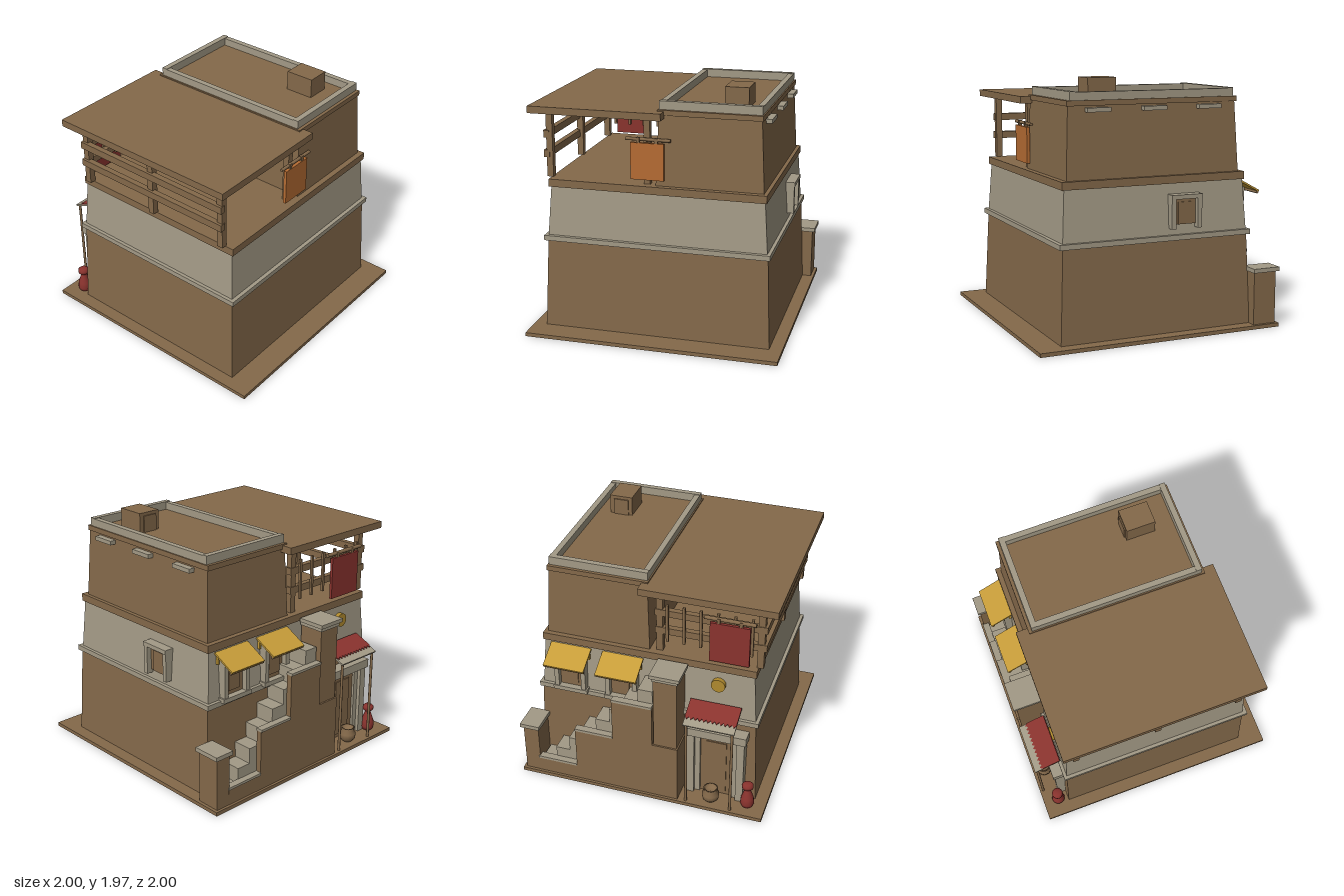
import * as THREE from 'three';

const mat = (name, color) => {
  const m = new THREE.MeshStandardMaterial({ color });
  m.name = name;
  return m;
};

export function createModel() {
  const model = new THREE.Group();
  const clay = mat('clay brown', 0x84694a);
  const stone = mat('pale stone', 0xa39a86);
  const red = mat('dark red', 0x8a332e);
  const orange = mat('orange cloth', 0xb56c33);
  const yellow = mat('yellow cloth', 0xc69c39);
  const gold = mat('gold', 0xb08a2e);

  const add = (name, geo, material, x = 0, y = 0, z = 0) => {
    const m = new THREE.Mesh(geo, material);
    m.name = name;
    m.position.set(x, y, z);
    model.add(m);
    return m;
  };
  // Box given by its extents on each axis
  const box = (name, material, x0, x1, y0, y1, z0, z1) =>
    add(name, new THREE.BoxGeometry(x1 - x0, y1 - y0, z1 - z0), material,
      (x0 + x1) / 2, (y0 + y1) / 2, (z0 + z1) / 2);
  // Block whose walls lean: bottom and top are [x0, x1, z0, z1]
  const tapered = (name, material, y0, y1, bottom, top) => {
    const geo = new THREE.BoxGeometry(1, 1, 1);
    const p = geo.attributes.position;
    for (let i = 0; i < p.count; i++) {
      const r = p.getY(i) > 0 ? top : bottom;
      p.setXYZ(i, r[p.getX(i) > 0 ? 1 : 0], p.getY(i) > 0 ? y1 : y0, r[p.getZ(i) > 0 ? 3 : 2]);
    }
    geo.computeVertexNormals();
    return add(name, geo, material);
  };
  // Thin sloping sheet from its outer edge (y0, z0) up to the wall (y1, z1)
  const sheet = (name, material, x0, x1, y0, z0, y1, z1, t) => {
    const m = add(name, new THREE.BoxGeometry(x1 - x0, t, Math.hypot(y1 - y0, z1 - z0)), material,
      (x0 + x1) / 2, (y0 + y1) / 2, (z0 + z1) / 2);
    m.rotation.x = Math.atan2(y0 - y1, z1 - z0);
    return m;
  };
  const rod = (name, material, r, length, x, y, z, alongX) => {
    const m = add(name, new THREE.CylinderGeometry(r, r, length, 10), material, x, y, z);
    if (alongX) m.rotation.z = Math.PI / 2;
    return m;
  };

  // Ground and main storeys
  box('ground', clay, -1, 1, 0, 0.03, -1, 1);
  tapered('lowerStorey', clay, 0.03, 0.76, [-0.9, 0.9, -0.79, 0.8], [-0.87, 0.87, -0.765, 0.77]);
  tapered('middleStorey', stone, 0.76, 1.18, [-0.87, 0.865, -0.765, 0.77], [-0.84, 0.835, -0.74, 0.745]);
  box('stoneLedge', stone, -0.895, 0.89, 0.74, 0.78, -0.79, 0.8);
  box('terraceFloor', clay, -0.855, 0.85, 1.17, 1.23, -0.75, 0.765);

  // Upper room with parapet and chimney
  tapered('upperRoom', clay, 1.23, 1.78, [-0.01, 0.82, -0.71, 0.72], [0.01, 0.79, -0.685, 0.695]);
  box('upperCornice', clay, 0, 0.8, 1.77, 1.81, -0.7, 0.705);
  for (const [z0, z1] of [[-0.675, -0.63], [0.635, 0.68]])
    box('parapetEnd', stone, 0.01, 0.79, 1.81, 1.875, z0, z1);
  for (const x of [0.01, 0.745])
    box('parapetSide', stone, x, x + 0.045, 1.81, 1.87, -0.63, 0.635);
  box('chimney', clay, 0.46, 0.645, 1.81, 1.965, 0.245, 0.475);
  box('chimneyPanel', clay, 0.49, 0.61, 1.81, 1.94, 0.235, 0.245);
  for (const z of [-0.45, 0.01, 0.465])
    box('wallBlock', stone, 0.78, 0.84, 1.725, 1.757, z - 0.095, z + 0.095);

  // Terrace canopy, posts and rails
  box('canopy', clay, -1, 0.05, 1.745, 1.8, -0.79, 0.79);
  for (const [x, z] of [[-0.865, -0.67], [-0.865, 0], [-0.865, 0.67], [-0.085, -0.67], [-0.085, 0.67]])
    box('canopyPost', clay, x - 0.025, x + 0.025, 1.23, 1.745, z - 0.025, z + 0.025);
  for (const y of [1.385, 1.54]) {
    box('sideRail', clay, -0.91, -0.865, y, y + 0.057, -0.7, 0.7);
    box('backRail', clay, -0.88, -0.05, y, y + 0.055, -0.7, -0.655);
  }
  for (let i = 0; i < 6; i++)
    box('railSlat', clay, -0.81 + i * 0.13, -0.79 + i * 0.13, 1.33, 1.65, -0.715, -0.695);

  // Hanging cloths
  box('orangeBanner', orange, -0.2, 0.06, 1.275, 1.56, 0.72, 0.745);
  rod('bannerPole', clay, 0.013, 0.35, -0.065, 1.585, 0.725, true);
  box('redBanner', red, -0.79, -0.485, 1.25, 1.585, -0.738, -0.715);
  rod('bannerPole', clay, 0.015, 0.39, -0.635, 1.615, -0.72, true);
  for (const [xs, y, z] of [[[-0.14, 0], 1.57, 0.73], [[-0.72, -0.55], 1.595, -0.725]])
    for (const x of xs) box('bannerLoop', clay, x - 0.012, x + 0.012, y - 0.03, y + 0.03, z - 0.012, z + 0.012);

  // Side window
  box('sideLintel', stone, 0.835, 0.918, 1.057, 1.09, -0.352, -0.092);
  for (const z of [-0.35, -0.13])
    box('sideJamb', stone, 0.84, 0.912, 0.83, 1.057, z, z + 0.036);
  box('sideShutter', clay, 0.83, 0.872, 0.86, 1.057, -0.314, -0.13);
  box('sideShutterPanel', clay, 0.872, 0.88, 0.86, 1.03, -0.28, -0.165);

  // Back windows with awnings
  for (const x of [0.195, 0.618]) {
    box('backLintel', stone, x - 0.13, x + 0.13, 1.057, 1.09, -0.82, -0.735);
    for (const s of [-1, 1])
      box('backJamb', stone, x + s * 0.11 - 0.018, x + s * 0.11 + 0.018, 0.8, 1.057, -0.815, -0.74);
    box('backSill', stone, x - 0.14, x + 0.14, 0.765, 0.8, -0.822, -0.75);
    box('backShutter', clay, x - 0.092, x + 0.092, 0.8, 1.057, -0.772, -0.74);
    box('backShutterPanel', clay, x - 0.055, x + 0.055, 0.83, 1.03, -0.78, -0.772);
    sheet('windowAwning', yellow, x - 0.165, x + 0.165, 1.055, -0.93, 1.155, -0.745, 0.014);
    rod('awningRod', clay, 0.01, 0.33, x, 1.045, -0.915, true);
    for (const s of [-1, 1])
      box('awningBracket', yellow, x + s * 0.15 - 0.008, x + s * 0.15 + 0.008, 1.07, 1.13, -0.775, -0.755);
  }

  // Staircase rising to the tall pillar, with a stepped outer wall
  for (let i = 0; i < 8; i++) {
    const x1 = 0.84 - i * 0.118;
    box('stair', stone, x1 - 0.118, x1, 0.03, 0.14 + i * 0.124, -0.935, -0.75);
  }
  [[0.53, 0.86, 0.17], [0.215, 0.53, 0.53], [-0.11, 0.215, 0.89]].forEach(([x0, x1, h]) => {
    box('stairWall', clay, x0, x1, 0.03, h - 0.015, -0.98, -0.935);
    box('stairWallCap', stone, x0, x1, h - 0.015, h + 0.005, -0.987, -0.93);
  });
  box('shortPillar', clay, 0.85, 0.975, 0.03, 0.445, -0.978, -0.785);
  box('shortPillarCap', stone, 0.835, 0.997, 0.447, 0.48, -0.998, -0.77);
  box('tallPillarBase', clay, -0.315, -0.11, 0.03, 0.53, -0.98, -0.76);
  box('tallPillar', clay, -0.305, -0.12, 0.53, 1.14, -0.967, -0.76);
  box('tallPillarNeck', stone, -0.315, -0.11, 1.14, 1.17, -0.978, -0.76);
  box('tallPillarCap', stone, -0.332, -0.095, 1.17, 1.2, -0.993, -0.765);

  // Doorway
  box('doorLintel', stone, -0.825, -0.335, 0.605, 0.675, -0.87, -0.76);
  for (const s of [-1, 1]) {
    const x = -0.58 + s * 0.2;
    box('doorJamb', stone, x - 0.03, x + 0.03, 0.03, 0.605, -0.855, -0.77);
    box('doorInnerJamb', stone, x - s * 0.05 - 0.022, x - s * 0.05 + 0.022, 0.03, 0.605, -0.825, -0.77);
    rod('awningPost', clay, 0.011, 0.77, -0.56 + s * 0.18, 0.415, -0.97);
  }
  box('door', clay, -0.74, -0.42, 0.03, 0.605, -0.805, -0.76);
  box('doorPanel', clay, -0.66, -0.5, 0.06, 0.54, -0.813, -0.805);

  // Door awning: pale sheet with a saw-edged red cover
  const slope = sheet('doorAwning', stone, -0.76, -0.358, 0.795, -0.99, 0.885, -0.775, 0.014);
  const saw = new THREE.Shape();
  saw.moveTo(-0.201, 0.117);
  for (let i = 0; i <= 24; i++) saw.lineTo(-0.201 + i * 0.01675, i % 2 ? -0.062 : -0.04);
  saw.lineTo(0.201, 0.117);
  const cover = new THREE.Mesh(new THREE.ExtrudeGeometry(saw, { depth: 0.008, bevelEnabled: false }), red);
  cover.name = 'doorAwningCover';
  cover.rotation.x = Math.PI / 2;
  cover.position.y = 0.015;
  slope.add(cover);

  // Wall disc, pot and jar
  const disc = add('wallDisc', new THREE.CylinderGeometry(0.055, 0.055, 0.035, 20), gold, -0.57, 1.06, -0.765);
  disc.rotation.x = Math.PI / 2;
  const lathe = (name, material, pts, x, z) =>
    add(name, new THREE.LatheGeometry(pts.map(p => new THREE.Vector2(...p)), 16), material, x, 0.03, z);
  lathe('pot', clay, [[0, 0], [0.04, 0], [0.065, 0.03], [0.068, 0.07], [0.05, 0.095], [0.058, 0.12],
    [0.045, 0.12], [0.04, 0.09], [0, 0.09]], -0.565, -0.9);
  lathe('jar', red, [[0, 0], [0.045, 0], [0.055, 0.03], [0.05, 0.08], [0.025, 0.15], [0.025, 0.165],
    [0.045, 0.18], [0.045, 0.205], [0.03, 0.22], [0, 0.22]], -0.855, -0.87);

  return model;
}
